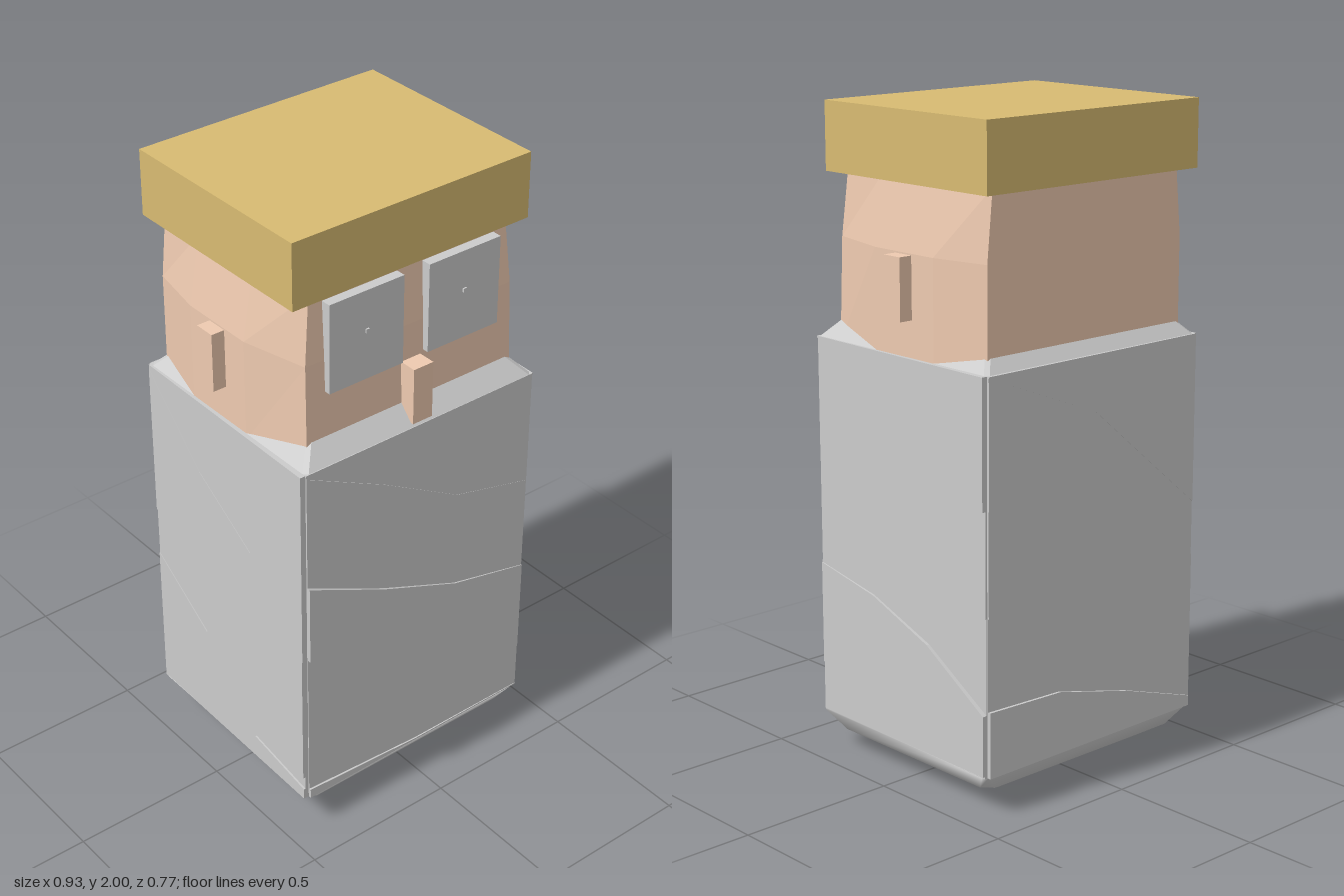
import * as THREE from 'three';

const mat = (color, extra = {}) => new THREE.MeshStandardMaterial({ color, ...extra });
const grey = mat(0xcccccc, { flatShading: true });
const greySmooth = mat(0xcccccc);
const skin = mat(0xeecab0, { flatShading: true });
const hatColor = mat(0xd8bb72);

// Skin closed rings of [x, y, z], listed bottom to top, with end caps
function loft(rings) {
  const n = rings[0].length, index = [];
  for (let i = 0; i < rings.length - 1; i++) {
    for (let j = 0; j < n; j++) {
      const a = i * n + j, b = i * n + (j + 1) % n;
      index.push(a, a + n, b, b, a + n, b + n);
    }
  }
  const last = (rings.length - 1) * n;
  for (let j = 1; j < n - 1; j++) {
    index.push(0, j, j + 1, last, last + j + 1, last + j);
  }
  const g = new THREE.BufferGeometry();
  g.setAttribute('position', new THREE.Float32BufferAttribute(rings.flat(2), 3));
  g.setIndex(index);
  g.computeVertexNormals();
  return g;
}

// Rectangle with cut corners
const cutRect = ([y, hx, hz, c]) => [
  [hx, y, -hz + c], [hx, y, hz - c], [hx - c, y, hz], [-hx + c, y, hz],
  [-hx, y, hz - c], [-hx, y, -hz + c], [-hx + c, y, -hz], [hx - c, y, -hz],
];

// Head section: flat front and back, cheeks bulging at the sides
const headRing = ([y, front, cheek, back, zf]) => {
  const side = [[back, -0.335], [cheek, -0.15], [cheek, 0.1], [front, zf]];
  return [
    ...side.map(([x, z]) => [x, y, z]),
    ...side.slice().reverse().map(([x, z]) => [-x, y, z]),
  ];
};

// Seam across a face: heights spaced evenly from one edge to the other
const seamLine = (heights, half) =>
  heights.map((y, i) => new THREE.Vector2(half * (2 * i / (heights.length - 1) - 1), y));

// Thin strip between two seams; its thickness runs from t0 to t1 across the face
function strip(upper, lower, half, t0, t1) {
  const shape = new THREE.Shape([...seamLine(upper, half), ...seamLine(lower, half).reverse()]);
  const g = new THREE.ExtrudeGeometry(shape, { depth: 1, bevelEnabled: false });
  const p = g.attributes.position;
  for (let i = 0; i < p.count; i++) {
    const t = THREE.MathUtils.lerp(t0, t1, (p.getX(i) + half) / (2 * half));
    p.setZ(i, p.getZ(i) > 0.5 ? t : -0.01);
  }
  g.computeVertexNormals();
  return g;
}

// Wraps per face, turning a quarter each: seam heights, strip thicknesses, thickness share at both edges
const wraps = [
  { name: 'frontWraps', ends: [1, 0.25], lifts: [0.003, 0.005, 0.015, 0.003, 0.01],
    seams: [[1.29, 1.15, 0.99, 0.92], [0.915, 0.78, 0.665, 0.6], [0.65, 0.46, 0.37, 0.275], [0.15, 0.123, 0.122]] },
  { name: 'leftWraps', ends: [0.25, 1], lifts: [0.018, 0.006, 0.004, 0.018, 0.01],
    seams: [[1.295, 1.14, 1.01, 0.915], [0.92, 0.83, 0.68, 0.6], [0.595, 0.55, 0.46, 0.31], [0.275, 0.24, 0.19, 0.125]] },
  { name: 'backWraps', ends: [1, 0.6], lifts: [0.01, 0.008, 0.006, 0.003, 0.012],
    seams: [[1.295, 1.13, 0.78], [0.915, 0.81, 0.71, 0.61], [0.6, 0.59, 0.46, 0.43], [0.32, 0.31, 0.24, 0.15]] },
  { name: 'rightWraps', ends: [0.4, 1], lifts: [0.018, 0.018, 0.02, 0.012, 0.018],
    seams: [[1.295, 1.293, 1.23, 0.915], [1.285, 1.05, 0.9, 0.65], [0.78, 0.6, 0.43, 0.2], [0.61, 0.45, 0.195, 0.155]] },
];

export function createModel() {
  const model = new THREE.Group();
  const add = (name, geometry, material, parent = model) => {
    const mesh = new THREE.Mesh(geometry, material);
    mesh.name = name;
    parent.add(mesh);
    return mesh;
  };
  const box = (name, [x0, x1], [y0, y1], [z0, z1], material) => {
    const mesh = add(name, new THREE.BoxGeometry(x1 - x0, y1 - y0, z1 - z0), material);
    mesh.position.set((x0 + x1) / 2, (y0 + y1) / 2, (z0 + z1) / 2);
  };

  // Body block with a sloping collar, and a rounded underside
  add('body', loft([
    [0.12, 0.42, 0.37, 0.012], [1.3, 0.42, 0.37, 0.012], [1.37, 0.355, 0.305, 0.01],
  ].map(cutRect)), grey);
  add('base', loft([
    [0, 0.29, 0.23, 0.05], [0.02, 0.325, 0.27, 0.04], [0.06, 0.39, 0.335, 0.03], [0.12, 0.43, 0.372, 0.015],
  ].map(cutRect)), greySmooth);

  // Wrapped strips
  wraps.forEach(({ name, ends, lifts, seams }, i) => {
    const [half, out] = i % 2 ? [0.37, 0.42] : [0.42, 0.37];
    const face = new THREE.Group();
    face.name = name;
    face.rotation.y = i * Math.PI / 2;
    const lines = [[1.3, 1.3], ...seams, [0.118, 0.118]];
    lifts.forEach((t, k) => {
      const g = strip(lines[k], lines[k + 1], half, t * ends[0], t * ends[1]);
      add('wrapStrip', g, grey, face).position.z = out;
    });
    model.add(face);
  });

  // Head, nose, ears and eyes
  add('head', loft([
    [1.28, 0.375, 0.42, 0.385, 0.32],
    [1.6, 0.37, 0.42, 0.385, 0.31],
    [1.81, 0.35, 0.385, 0.365, 0.3],
  ].map(headRing)), skin);
  box('nose', [-0.035, 0.035], [1.31, 1.49], [0.29, 0.37], skin);
  for (const s of [-1, 1]) {
    const span = (a, b) => (s > 0 ? [a, b] : [-b, -a]);
    const side = s > 0 ? 'left' : 'right';
    box(side + 'Ear', span(0.39, 0.463), [1.41, 1.595], [-0.058, 0.01], skin);
    box(side + 'Eye', span(0.045, 0.305), [1.5, 1.78], [0.295, 0.333], grey);
    box(side + 'Pupil', span(0.169, 0.181), [1.649, 1.661], [0.33, 0.338], grey);
  }

  // Flat block hat
  box('hat', [-0.418, 0.418], [1.795, 2], [-0.37, 0.32], hatColor);
  return model;
}
